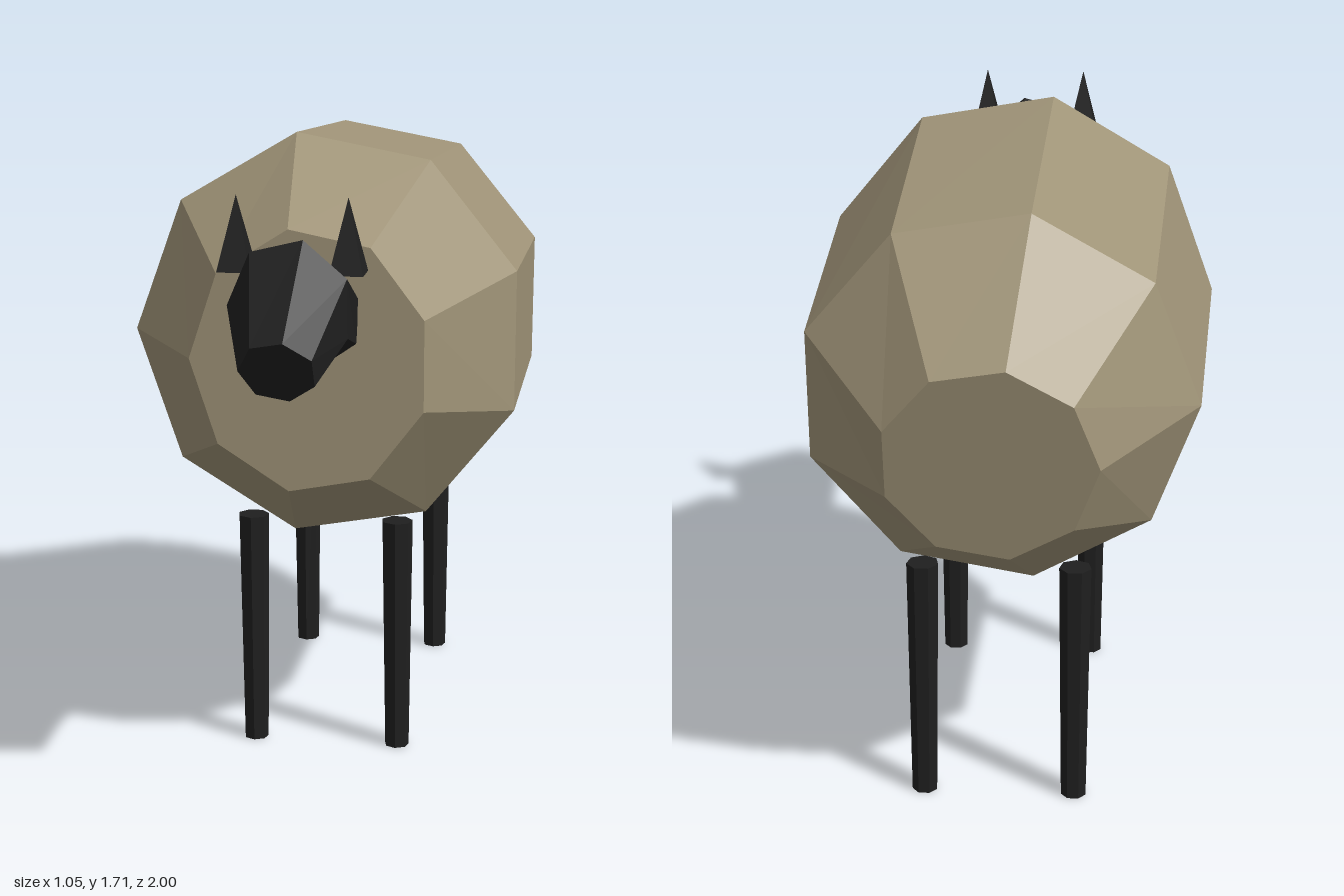
import * as THREE from 'three';

const wool = new THREE.MeshStandardMaterial({ color: 0xa09478 });
wool.name = 'wool';
const black = new THREE.MeshStandardMaterial({ color: 0x1f1f1f });
black.name = 'black';

// Faceted mesh: every face gets its own normal
function facetedMesh(geometry, material, name) {
  const flat = geometry.index ? geometry.toNonIndexed() : geometry;
  flat.computeVertexNormals();
  const mesh = new THREE.Mesh(flat, material);
  mesh.name = name;
  return mesh;
}

// Closed loft through tilted rings, ordered from back to front.
// Ring: centre x, y, z, radii rx, ry, and tilt (change of z per unit of y).
function loft(rings, sides) {
  const positions = [];
  const index = [];
  for (const { x, y, z, rx, ry, tilt } of rings) {
    for (let k = 0; k < sides; k++) {
      const a = Math.PI + (k / sides) * Math.PI * 2;
      const dy = ry * Math.sin(a);
      positions.push(x + rx * Math.cos(a), y + dy, z + tilt * dy);
    }
  }
  for (let i = 0; i < rings.length - 1; i++) {
    for (let k = 0; k < sides; k++) {
      const a = i * sides + k;
      const b = i * sides + ((k + 1) % sides);
      index.push(a, b, b + sides, a, b + sides, a + sides);
    }
  }
  const last = (rings.length - 1) * sides;
  for (let k = 1; k < sides - 1; k++) {
    index.push(0, k + 1, k); // back cap
    index.push(last, last + k, last + k + 1); // front cap
  }
  const geometry = new THREE.BufferGeometry();
  geometry.setAttribute('position', new THREE.Float32BufferAttribute(positions, 3));
  geometry.setIndex(index);
  return geometry;
}

// Tapered leg that leans slightly forward towards the top
function makeLeg(x, z, name) {
  const height = 0.66;
  const geometry = new THREE.CylinderGeometry(0.043, 0.034, height, 7);
  geometry.translate(0, height / 2, 0);
  const p = geometry.attributes.position;
  for (let i = 0; i < p.count; i++) p.setZ(i, p.getZ(i) + 0.027 * p.getY(i));
  const leg = facetedMesh(geometry, black, name);
  leg.position.set(x, 0, z);
  return leg;
}

// Four-sided pointed ear
function makeEar(x, name) {
  const geometry = new THREE.ConeGeometry(0.043 * Math.SQRT2, 0.19, 4);
  geometry.rotateY(Math.PI / 4);
  const ear = facetedMesh(geometry, black, name);
  ear.position.set(x, 1.54, 0.713);
  return ear;
}

export function createModel() {
  const model = new THREE.Group();
  model.name = 'sheep';

  // Fleece: rump, hips, shoulders, chest
  model.add(facetedMesh(loft([
    { x: 0.01, y: 1.06, z: -0.945, rx: 0.275, ry: 0.275, tilt: 0.2 * -1 },
    { x: 0.013, y: 1.12, z: -0.645, rx: 0.518, ry: 0.518, tilt: -0.085 },
    { x: 0.014, y: 1.16, z: 0.15, rx: 0.539, ry: 0.558, tilt: -0.036 },
    { x: 0.015, y: 1.16, z: 0.49, rx: 0.32, ry: 0.355, tilt: 0 },
  ], 9), wool, 'fleece'));

  // Head: neck, brow, muzzle
  const head = new THREE.Group();
  head.name = 'head';
  head.add(facetedMesh(loft([
    { x: 0.012, y: 1.27, z: 0.48, rx: 0.143, ry: 0.118, tilt: -0.5 },
    { x: 0.013, y: 1.363, z: 0.755, rx: 0.16, ry: 0.177, tilt: 0.087 },
    { x: 0.016, y: 1.242, z: 0.95, rx: 0.098, ry: 0.085, tilt: 0.6 },
  ], 7), black, 'face'));
  head.add(makeEar(0.153, 'leftEar'), makeEar(-0.13, 'rightEar'));
  model.add(head);

  // Legs
  for (const [side, x] of [['Left', 0.21], ['Right', -0.19]]) {
    model.add(makeLeg(x, 0.193, `front${side}Leg`));
    model.add(makeLeg(x, -0.665, `back${side}Leg`));
  }
  return model;
}
